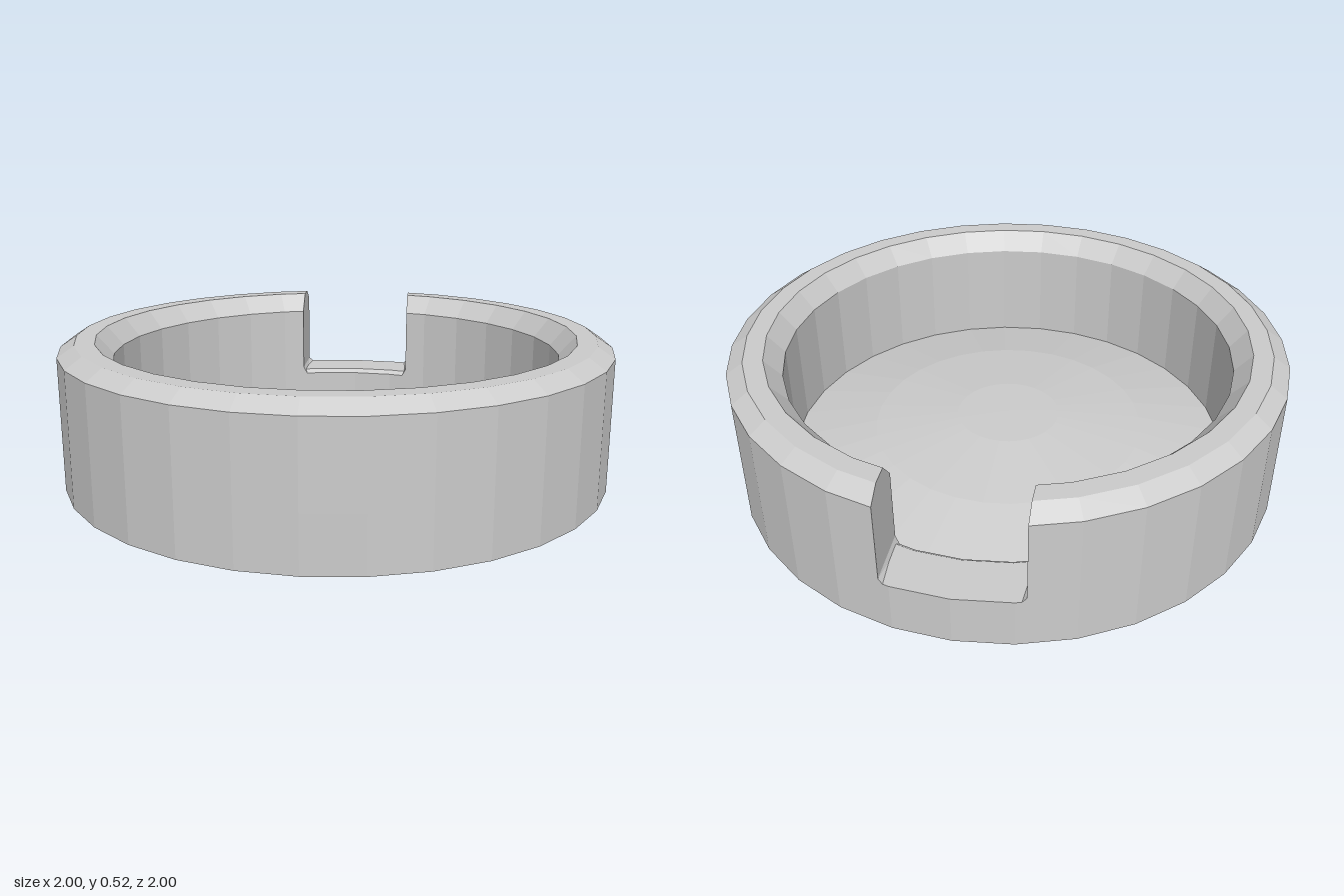
import * as THREE from 'three';

const SIDES = 32;
const STEP = (Math.PI * 2) / SIDES;
const material = new THREE.MeshStandardMaterial({ color: 0xcccccc, flatShading: true, side: THREE.DoubleSide });

// Solid lower body: flat underside, notch sill and gently domed floor
function createBase() {
  const profile = [
    [0, 0], [1, 0], [1, 0.18], [0.83, 0.18], [0.81, 0.165],
    [0.81, 0.07], [0.5, 0.14], [0.19, 0.174], [0, 0.178],
  ].map(([r, y]) => new THREE.Vector2(r, y));
  const mesh = new THREE.Mesh(new THREE.LatheGeometry(profile, SIDES), material);
  mesh.name = 'baseAndFloor';
  return mesh;
}

// Bevelled rim wall swept around the base, leaving a straight-sided notch at the back.
// Each section point is [radius, height, half width of the notch there].
function createWall() {
  const section = [
    [0.81, 0.165, 0.215], [1, 0.18, 0.215], [1, 0.195, 0.23], [1, 0.48, 0.23],
    [0.94, 0.52, 0.23], [0.87, 0.52, 0.23], [0.81, 0.45, 0.23], [0.81, 0.195, 0.23],
  ];

  // Notch end: cut the facet between the first and second side by a plane of constant x
  const notchEnd = (side) => section.map(([r, y, x]) => {
    const t = (x / r - Math.sin(STEP)) / (Math.sin(2 * STEP) - Math.sin(STEP));
    const z = -r * THREE.MathUtils.lerp(Math.cos(STEP), Math.cos(2 * STEP), t);
    return [side * x, y, z];
  });

  const stations = [notchEnd(1)];
  for (let i = 2; i <= SIDES - 2; i++) {
    const a = i * STEP;
    stations.push(section.map(([r, y]) => [r * Math.sin(a), y, -r * Math.cos(a)]));
  }
  stations.push(notchEnd(-1));

  const n = section.length;
  const index = [];
  for (let i = 0; i < stations.length - 1; i++) {
    for (let j = 0; j < n; j++) {
      const a = i * n + j, b = i * n + (j + 1) % n;
      index.push(a, b, b + n, a, b + n, a + n);
    }
  }

  // End caps: a small chamfer at the foot and the flat notch cheek above it
  const last = (stations.length - 1) * n;
  for (const loop of [[0, 1, 2, 7], [2, 3, 4, 5, 6, 7]]) {
    for (let k = 1; k < loop.length - 1; k++) {
      const [a, b, c] = [loop[0], loop[k], loop[k + 1]];
      index.push(a, c, b, last + a, last + b, last + c);
    }
  }

  const geometry = new THREE.BufferGeometry();
  geometry.setAttribute('position', new THREE.Float32BufferAttribute(stations.flat(2), 3));
  geometry.setIndex(index);
  const flat = geometry.toNonIndexed();
  flat.computeVertexNormals();
  const mesh = new THREE.Mesh(flat, material);
  mesh.name = 'notchedRimWall';
  return mesh;
}

export function createModel() {
  const group = new THREE.Group();
  group.name = 'notchedRoundDish';
  group.add(createBase(), createWall());
  return group;
}
